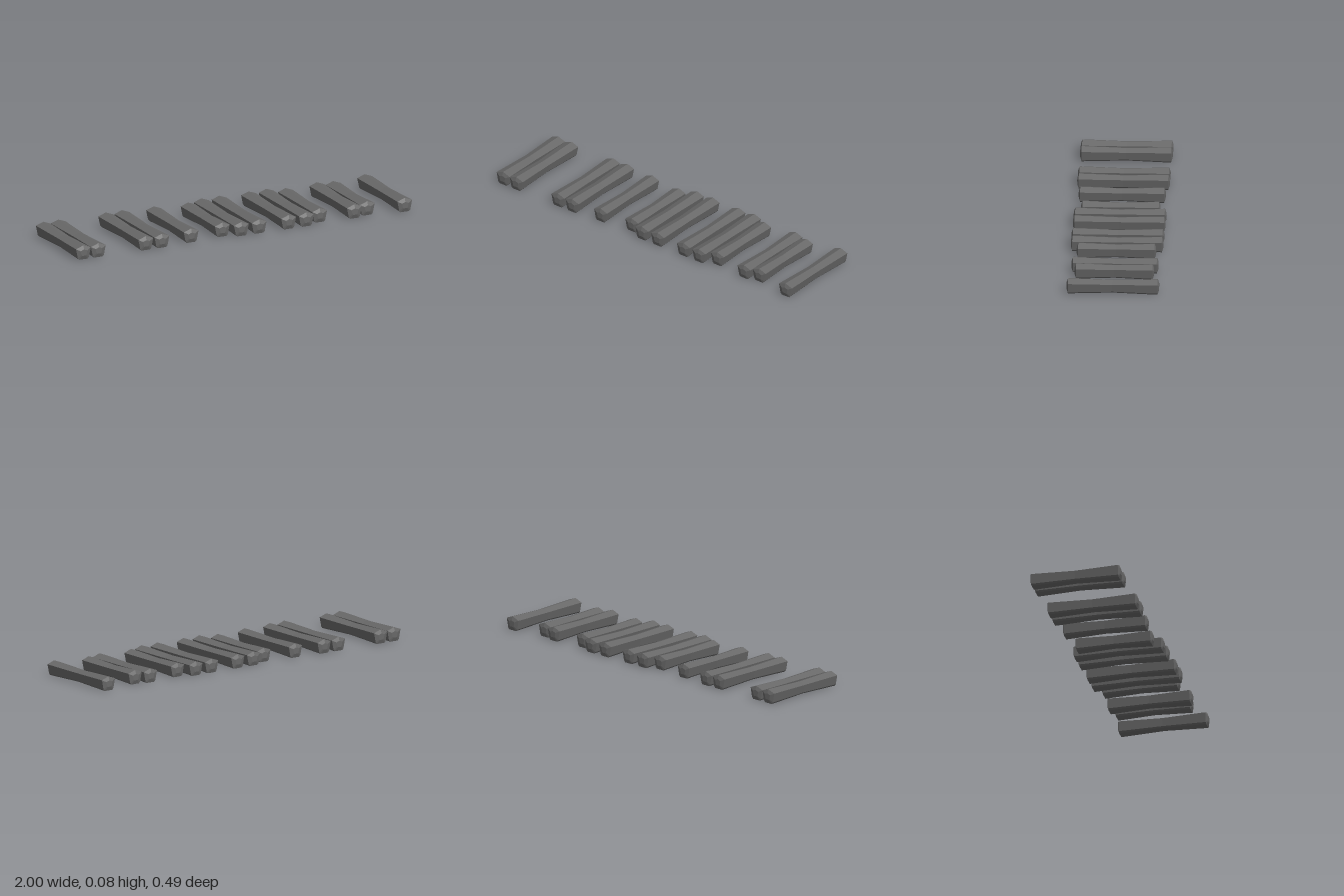
import * as THREE from 'three';

const stone = new THREE.MeshStandardMaterial({ color: 0x686868 });
stone.name = 'dark grey';

// End outline, counter-clockwise from the ridge
const MID_Y = 0.039;
const outline = [
  [0, 0.077], [-0.044, 0.061], [-0.033, 0.009], [-0.025, 0],
  [0.025, 0], [0.033, 0.009], [0.044, 0.061],
];

// Faceted bar along z: narrow waist, flared ends, shallow bulged caps
function barGeometry(half) {
  const sections = [
    [-half, 0.45], [-half + 0.008, 1], [0, 0.82], [half - 0.008, 1], [half, 0.45],
  ];
  const n = outline.length;
  const pos = [];
  const index = [];
  for (const [z, s] of sections) {
    for (const [x, y] of outline) pos.push(x * s, MID_Y + (y - MID_Y) * s, z);
  }
  for (let i = 0; i < sections.length - 1; i++) {
    for (let j = 0; j < n; j++) {
      const a = i * n + j, b = i * n + (j + 1) % n;
      index.push(a, b, b + n, a, b + n, a + n);
    }
  }
  // Close both ends
  const last = (sections.length - 1) * n;
  for (let j = 1; j < n - 1; j++) {
    index.push(0, j + 1, j, last, last + j, last + j + 1);
  }
  const geo = new THREE.BufferGeometry();
  geo.setAttribute('position', new THREE.Float32BufferAttribute(pos, 3));
  geo.setIndex(index);
  const flat = geo.toNonIndexed();
  flat.computeVertexNormals();
  return flat;
}

export function createModel() {
  const group = new THREE.Group();
  group.name = 'barRow';
  const long = barGeometry(0.246);
  const medium = barGeometry(0.231);
  const short = barGeometry(0.211);

  // Uneven row of bars: x position and size
  const bars = [
    [-0.955, long], [-0.866, long], [-0.584, long], [-0.488, long],
    [-0.307, medium], [-0.112, short], [-0.016, long], [0.09, long],
    [0.265, long], [0.37, long], [0.467, short], [0.663, medium],
    [0.75, short], [0.955, long],
  ];
  bars.forEach(([x, geo], i) => {
    const bar = new THREE.Mesh(geo, stone);
    bar.name = `bar${i + 1}`;
    bar.position.x = x;
    group.add(bar);
  });
  return group;
}
